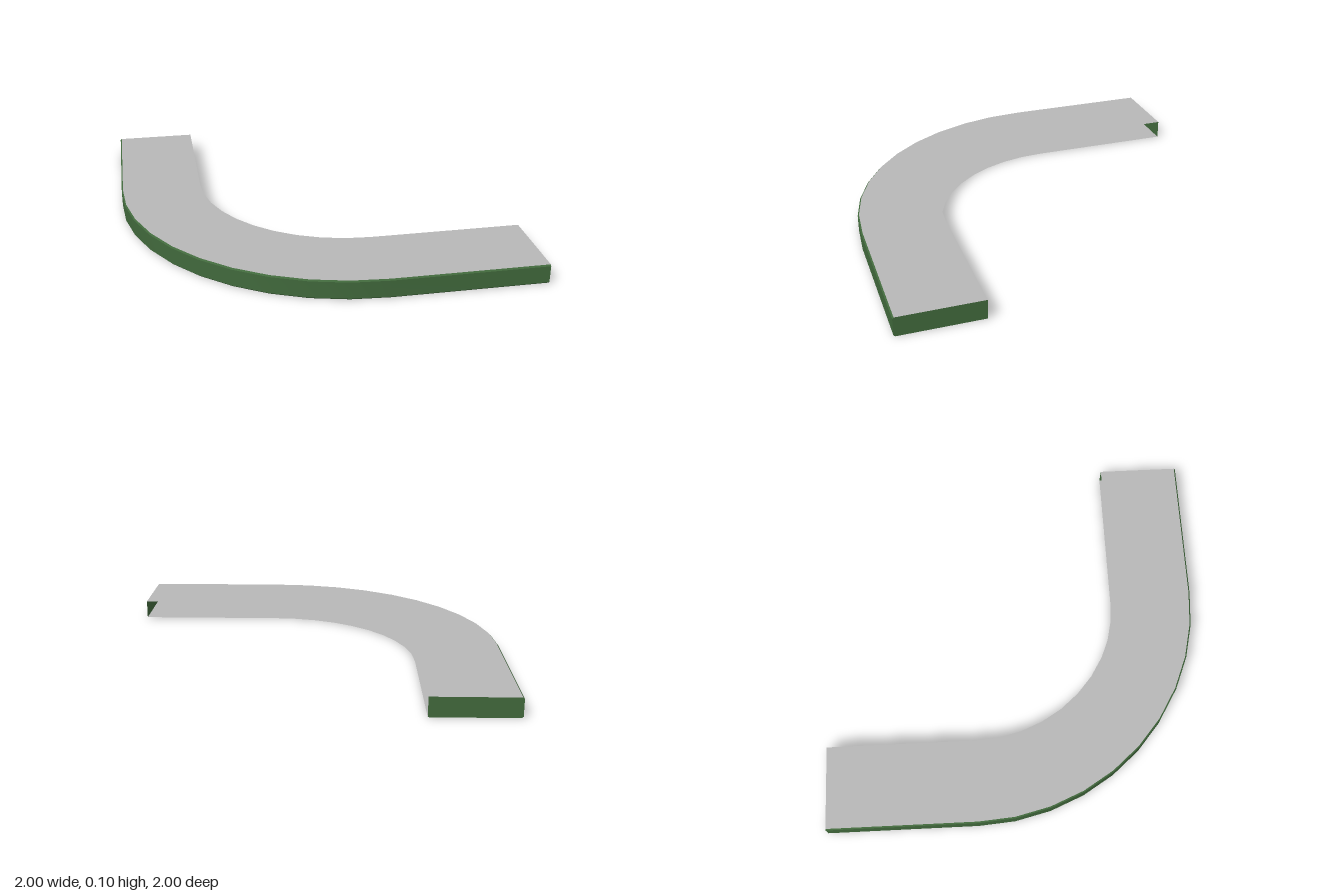
import * as THREE from 'three';

const C = 0.22;            // bend centre is at x = C, z = -C
const R_OUT = 1.22, R_IN = 0.787, H = 0.1, BEVEL = 0.007, STEPS = 10;

// Path point at radius r: straight start, quarter bend, straight end
function pathPoints(r) {
  const pts = [[C - r, -1]];
  for (let i = 0; i <= STEPS; i++) {
    const a = (i / STEPS) * Math.PI / 2;
    pts.push([C - r * Math.cos(a), -C + r * Math.sin(a)]);
  }
  pts.push([1, r - C]);
  return pts;
}

// Strip swept along the path between two profile points [radius, height]
function ribbon([rA, yA], [rB, yB]) {
  const a = pathPoints(rA), b = pathPoints(rB), pos = [], idx = [];
  a.forEach(([x, z], i) => {
    pos.push(x, yA, z, b[i][0], yB, b[i][1]);
    if (i < a.length - 1) {
      const k = i * 2;
      idx.push(k, k + 2, k + 1, k + 1, k + 2, k + 3);
    }
  });
  const g = new THREE.BufferGeometry();
  g.setAttribute('position', new THREE.Float32BufferAttribute(pos, 3));
  g.setIndex(idx);
  g.computeVertexNormals();
  return g;
}

export function createModel() {
  const group = new THREE.Group();
  const grey = new THREE.MeshStandardMaterial({ color: 0xb8b8b8, side: THREE.DoubleSide });
  grey.name = 'grey';
  const green = new THREE.MeshStandardMaterial({ color: 0x41693c, side: THREE.DoubleSide });
  green.name = 'green';
  const add = (name, geo, mat) => {
    const m = new THREE.Mesh(geo, mat);
    m.name = name;
    group.add(m);
    return m;
  };

  // Profile from floor inner edge, round the outer wall, to roof inner edge
  const profile = [
    [R_IN, 0], [R_OUT - BEVEL, 0], [R_OUT, BEVEL],
    [R_OUT, H - BEVEL], [R_OUT - BEVEL, H], [R_IN, H],
  ];
  const names = ['floor', 'lowerBevel', 'outerWall', 'upperBevel', 'roof'];
  names.forEach((name, i) => {
    const flat = name === 'floor' || name === 'roof';
    add(name, ribbon(profile[i], profile[i + 1]), flat ? grey : green);
  });

  // End caps; the inner side stays open
  const shape = new THREE.Shape(profile.map(([r, y]) => new THREE.Vector2(r - C, y)));
  const backCap = add('backEndCap', new THREE.ShapeGeometry(shape), green);
  backCap.rotation.y = Math.PI;
  backCap.position.z = -1;
  const sideCap = add('sideEndCap', new THREE.ShapeGeometry(shape), green);
  sideCap.rotation.y = -Math.PI / 2;
  sideCap.position.x = 1;

  return group;
}
